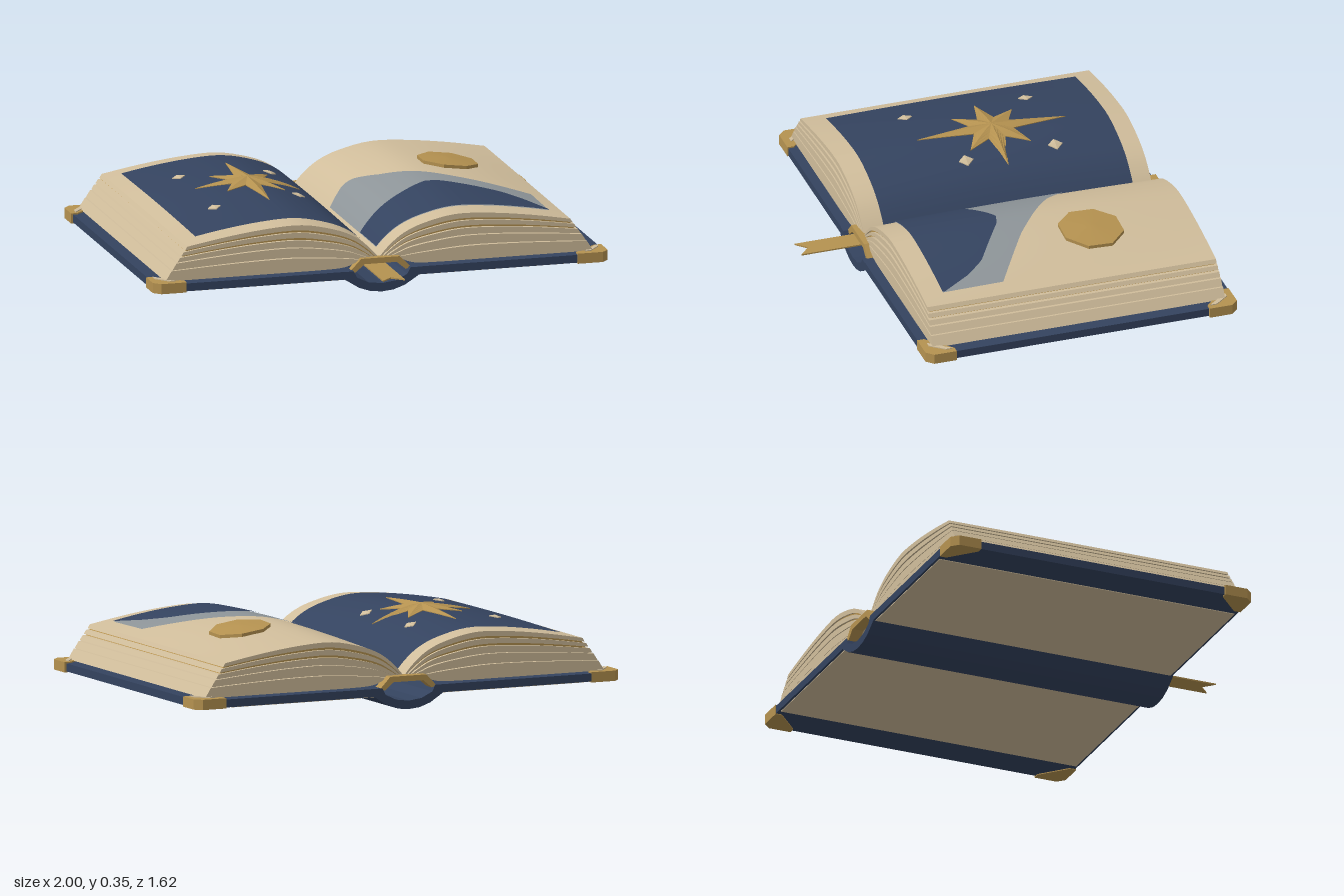
import * as THREE from 'three';
import { toCreasedNormals } from 'three/addons/utils/BufferGeometryUtils.js';

const mat = (name, color, side = THREE.FrontSide) => {
  const m = new THREE.MeshStandardMaterial({ color, side });
  m.name = name;
  return m;
};
const ZB = -0.77, ZF = 0.53, N = 28;

// Page curves from gutter to outer edge, for the right half
const curve = (pts) => new THREE.SplineCurve(pts.map((p) => new THREE.Vector2(...p))).getPoints(N);
const topCurve = curve([[0, 0.135], [0.045, 0.185], [0.11, 0.235], [0.2, 0.272], [0.34, 0.3], [0.5, 0.294], [0.68, 0.272], [0.85, 0.243]]);
const lowCurve = curve([[0.08, 0.135], [0.12, 0.115], [0.17, 0.103], [0.28, 0.1], [0.42, 0.1], [0.6, 0.1], [0.77, 0.1], [0.94, 0.1]]);

// Gentle swelling of the open pages along their height
const swell = (x, z) => 0.024 * Math.sin(Math.PI * Math.min(1, Math.abs(x) / 0.85))
  * Math.sin(Math.PI * Math.min(1, Math.max(0, (z - ZB) / (ZF - ZB))));

function pageY(x, z) {
  const a = Math.abs(x);
  let i = 0;
  while (i < N - 1 && topCurve[i + 1].x < a) i++;
  const p = topCurve[i], q = topCurve[i + 1];
  const k = Math.min(1, (a - p.x) / (q.x - p.x));
  return p.y + (q.y - p.y) * k + swell(x, z);
}

function build(positions, index, crease = 0.6) {
  const g = new THREE.BufferGeometry();
  g.setAttribute('position', new THREE.Float32BufferAttribute(positions, 3));
  g.setIndex(index);
  return toCreasedNormals(g, crease);
}

// A bundle of pages between two levels of the stack, side = 1 or -1
function pageLayer(side, t0, t1, inset) {
  const slices = 14, pos = [], idx = [], ring = 2 * (N + 1);
  const quad = (a, b, c, d) => (side > 0 ? idx.push(a, b, c, a, c, d) : idx.push(a, c, b, a, d, c));
  for (let s = 0; s <= slices; s++) {
    const z = ZB + inset + (ZF - ZB - 2 * inset) * s / slices;
    const put = (i, t) => {
      const a = lowCurve[i], b = topCurve[i];
      const x = (a.x + (b.x - a.x) * t) * (1 - inset * 1.2 * i / N);
      pos.push(side * x, a.y + (b.y - a.y) * t + t * swell(x, z), z);
    };
    for (let i = 0; i <= N; i++) put(i, t1);
    for (let i = N; i >= 0; i--) put(i, t0);
  }
  for (let s = 0; s < slices; s++) for (let i = 0; i < ring; i++) {
    const j = (i + 1) % ring, a = s * ring, b = a + ring;
    quad(a + i, b + i, b + j, a + j);
  }
  const e = slices * ring;
  for (let i = 0; i < N; i++) {
    const u = ring - 1 - i;
    quad(i, i + 1, u - 1, u);
    quad(e + i, e + u, e + u - 1, e + i + 1);
  }
  return build(pos, idx);
}

// A painted patch lying on the page, from the edge line far(x) to near
function patch(x0, x1, far, near, lift) {
  const nx = 44, nz = 16, pos = [], idx = [];
  for (let i = 0; i <= nx; i++) for (let j = 0; j <= nz; j++) {
    const x = x0 + (x1 - x0) * i / nx, f = far(x), z = f + (near - f) * j / nz;
    pos.push(x, pageY(x, z) + lift, z);
    if (i < nx && j < nz) {
      const a = i * (nz + 1) + j, b = a + nz + 1;
      idx.push(a, a + 1, b + 1, a, b + 1, b);
    }
  }
  return build(pos, idx, 1);
}

const line = (pts) => (x) => {
  let i = 0;
  while (i < pts.length - 2 && pts[i + 1][0] < x) i++;
  const [a, b] = [pts[i], pts[i + 1]];
  return a[1] + (b[1] - a[1]) * (x - a[0]) / (b[0] - a[0]);
};

// A raised emblem with outline points around a centre, following the page
function emblem(cx, cz, outline, height, base) {
  const rings = 5, n = outline.length, idx = [];
  const pos = [cx, pageY(cx, cz) + base + height, cz];
  for (let r = 1; r <= rings + 1; r++) outline.forEach(([ox, oz], k) => {
    const f = Math.min(1, r / rings), x = cx + ox * f, z = cz + oz * f;
    pos.push(x, r > rings ? pageY(x, z) : pageY(x, z) + base + height * (1 - f), z);
    const m = (k + 1) % n, c = 1 + (r - 1) * n, p = c - n;
    if (r === 1) idx.push(0, c + m, c + k);
    else idx.push(p + k, p + m, c + m, p + k, c + m, c + k);
  });
  return build(pos, idx, 0.1);
}
const polar = (n, radius) => Array.from({ length: n }, (_, k) => {
  const a = 2 * Math.PI * k / n, [rx, rz] = radius(k);
  return [rx * Math.cos(a), rz * Math.sin(a)];
});

// Horizontal slab from an outline in x and z
function slab(pts, y0, y1) {
  const s = new THREE.Shape(pts.map(([x, z]) => new THREE.Vector2(x, -z)));
  return new THREE.ExtrudeGeometry(s, { depth: y1 - y0, bevelEnabled: false }).rotateX(-Math.PI / 2).translate(0, y0, 0);
}
// Prism from an outline in x and y
function prism(pts, z0, z1) {
  const s = new THREE.Shape(pts.map((p) => new THREE.Vector2(...p)));
  return new THREE.ExtrudeGeometry(s, { depth: z1 - z0, bevelEnabled: false }).translate(0, 0, z0);
}

export function createModel() {
  const navy = mat('navy', 0x34435f);
  const paper = mat('paper', 0xd0bd9b);
  const gold = mat('gold', 0xb59250);
  const mist = mat('mist blue', 0x8d9498);
  const book = new THREE.Group();
  book.name = 'openBook';
  const add = (name, geo, m) => {
    const mesh = new THREE.Mesh(geo, m);
    mesh.name = name;
    book.add(mesh);
  };

  for (const s of [1, -1]) {
    const side = s > 0 ? 'left' : 'right';
    // Cover board with chamfered corners, and its paper underside
    add(side + 'Board', slab([[0.13, -0.81], [0.96, -0.81], [0.99, -0.78], [0.99, 0.54], [0.96, 0.57], [0.13, 0.57]]
      .map(([x, z]) => [s * x, z]), 0.062, 0.096), navy);
    add(side + 'BoardLining', slab([[0.16, -0.8], [0.83, -0.8], [0.83, 0.56], [0.16, 0.56]]
      .map(([x, z]) => [s * x, z]), 0.059, 0.063), paper);
    // Metal corners with a pale inlay
    for (const [end, ze, d] of [['front', 0.574, -1], ['back', -0.812, 1]]) {
      add(side + end + 'Corner', slab([[0.86, 0], [0.97, 0], [1, 0.03], [1, 0.13], [0.97, 0.13], [0.86, 0.03]]
        .map(([x, z]) => [s * x, ze + d * z]), 0.058, 0.102), gold);
      add(side + end + 'CornerInlay', slab([[0.9, 0.03], [0.925, 0.03], [0.975, 0.09], [0.975, 0.12]]
        .map(([x, z]) => [s * x, ze + d * z]), 0.1, 0.106), paper);
    }
    // Page bundles separated by recessed darker leaves
    const layers = [[0, 0.3, 0], [0.32, 0.52, 0.002], [0.55, 0.68, 0.004], [0.73, 0.84, 0.006], [0.89, 1, 0.008]];
    layers.forEach(([a, b, inset], i) => {
      add(side + 'Pages' + i, pageLayer(s, a, b, inset), paper);
      if (i) add(side + 'GildedLeaf' + i, pageLayer(s, layers[i - 1][1], a, 0.016), i > 2 ? gold : paper);
    });
  }

  // Curved hollow spine
  add('spine', prism([[-0.16, 0.096], [-0.16, 0.06], [-0.1, 0.022], [-0.05, 0.005], [0, 0], [0.05, 0.005], [0.1, 0.022], [0.16, 0.06],
    [0.16, 0.096], [0.125, 0.096], [0.11, 0.068], [0.06, 0.044], [0, 0.036], [-0.06, 0.044], [-0.11, 0.068], [-0.125, 0.096]], -0.81, 0.572), navy);
  // Arched headbands at both ends
  const arch = [[-0.135, 0.09], [-0.085, 0.142], [0.085, 0.142], [0.135, 0.09], [0.11, 0.085], [0.07, 0.118], [-0.07, 0.118], [-0.11, 0.085]];
  add('frontHeadband', prism(arch, 0.515, 0.55), gold);
  add('backHeadband', prism(arch, -0.805, -0.755), gold);
  // Bookmark ribbon with a notched tail
  add('ribbon', slab([[-0.065, 0.48], [0.03, 0.48], [0.03, 0.81], [-0.018, 0.765], [-0.065, 0.81]], 0.104, 0.11), gold);

  // Night sky page with a faceted star
  add('nightSky', patch(-0.78, 0, () => -0.68, 0.43, 0.004), navy);
  add('bigStar', emblem(-0.375, -0.17, polar(16, (k) =>
    (k % 2 ? [0.085, 0.095] : k % 8 === 0 ? [0.23, 0.23] : k % 4 === 0 ? [0.33, 0.33] : [0.18, 0.19])), 0.016, 0.008), gold);
  for (const [x, z] of [[-0.61, -0.4], [-0.21, -0.4], [-0.2, 0], [-0.61, 0.135]])
    add('smallStar', emblem(x, z, polar(8, (k) => (k % 2 ? [0.021, 0.021] : [0.028, 0.032])), 0.006, 0.008), paper);

  // Landscape page with hills and a sun
  add('farHill', patch(0.015, 0.775, line([[0, -0.25], [0.09, -0.33], [0.13, -0.325], [0.22, -0.22], [0.5, -0.01], [0.78, 0.165]]), 0.43, 0.004), mist);
  add('nearHill', patch(0.015, 0.775, line([[0, 0.195], [0.15, 0.135], [0.34, 0.05], [0.4, 0.065], [0.63, 0.21], [0.7, 0.29], [0.78, 0.43]]), 0.432, 0.008), navy);
  add('sun', emblem(0.545, -0.305, polar(8, () => [0.13, 0.14]).map(([x, z]) => {
    const c = Math.cos(Math.PI / 8), q = Math.sin(Math.PI / 8);
    return [x * c - z * q, x * q + z * c];
  }), 0.006, 0.014), gold);
  return book;
}
